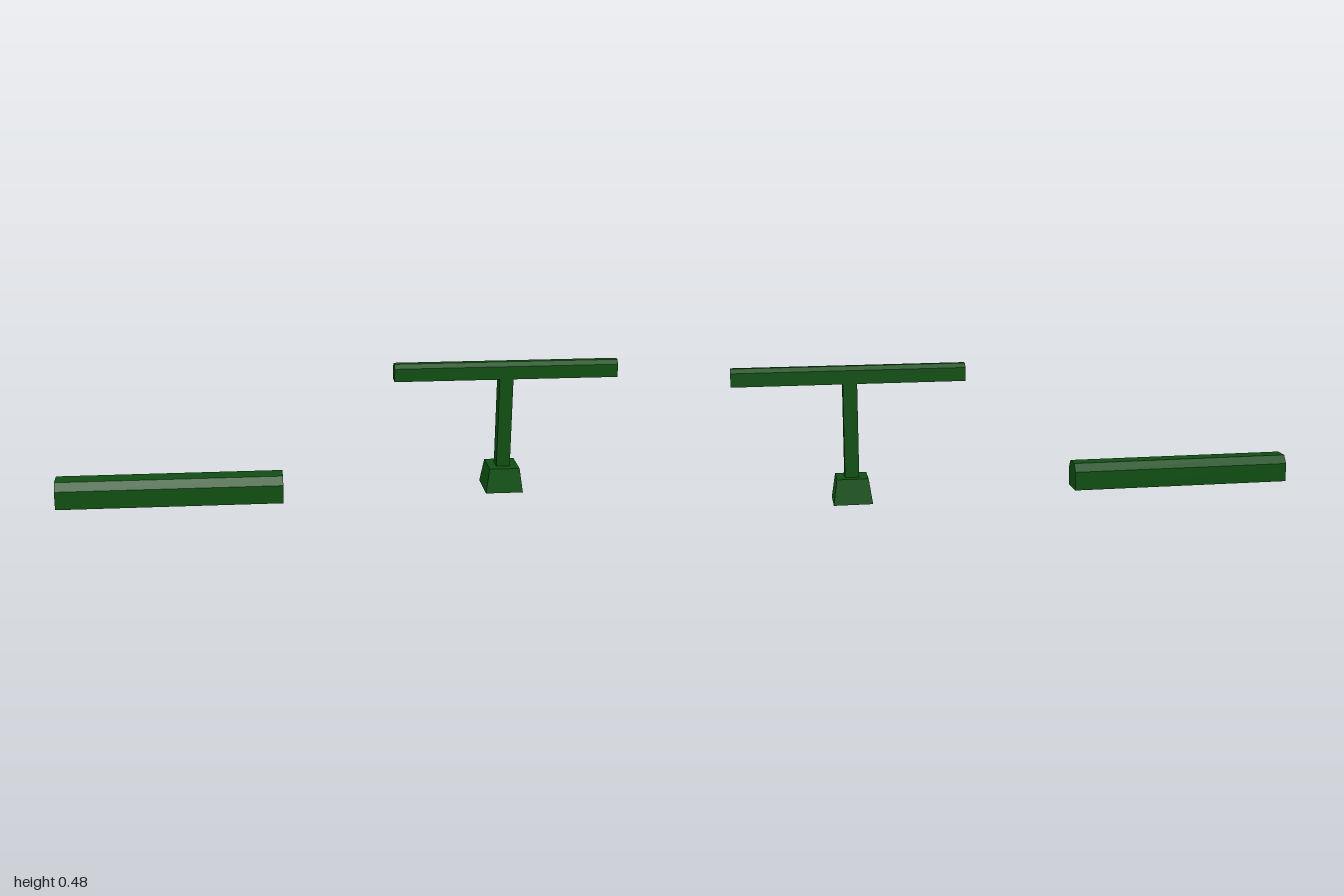
import * as THREE from 'three';

const material = new THREE.MeshStandardMaterial({ color: 0x0f5012, flatShading: true });

function addMesh(parent, name, geometry, x, y, z) {
  const mesh = new THREE.Mesh(geometry, material);
  mesh.name = name;
  mesh.position.set(x, y, z);
  parent.add(mesh);
  return mesh;
}

// Bar along x with its two upper edges chamfered; origin at the bottom centre
function chamferedBar(length, halfDepth, height, topHalf, shoulder) {
  const shape = new THREE.Shape([
    [-halfDepth, 0], [halfDepth, 0], [halfDepth, shoulder],
    [topHalf, height], [-topHalf, height], [-halfDepth, shoulder],
  ].map(([x, y]) => new THREE.Vector2(x, y)));
  return new THREE.ExtrudeGeometry(shape, { depth: length, bevelEnabled: false })
    .translate(0, 0, -length / 2)
    .rotateY(Math.PI / 2);
}

// Square block tapering towards the top; origin at the bottom centre
function taperedBlock(bottomHalf, topHalf, height) {
  return new THREE.CylinderGeometry(topHalf * Math.SQRT2, bottomHalf * Math.SQRT2, height, 4)
    .rotateY(Math.PI / 4)
    .translate(0, height / 2, 0);
}

export function createModel() {
  const group = new THREE.Group();

  // Thick beam lying on the ground
  addMesh(group, 'groundBeam', chamferedBar(0.8, 0.052, 0.095, 0.031, 0.067), -0.6, 0, 0.0335);

  // Raised rail on a post with a tapered foot
  const stand = new THREE.Group();
  stand.name = 'raisedRail';
  stand.position.set(0.6, 0, -0.0165);
  group.add(stand);
  addMesh(stand, 'foot', taperedBlock(0.0675, 0.0545, 0.088), 0, 0, 0);
  addMesh(stand, 'post', new THREE.BoxGeometry(0.049, 0.327, 0.049), 0, 0.2515, 0);
  addMesh(stand, 'rail', chamferedBar(0.8, 0.0245, 0.061, 0.01, 0.047), 0, 0.415, 0);

  return group;
}
